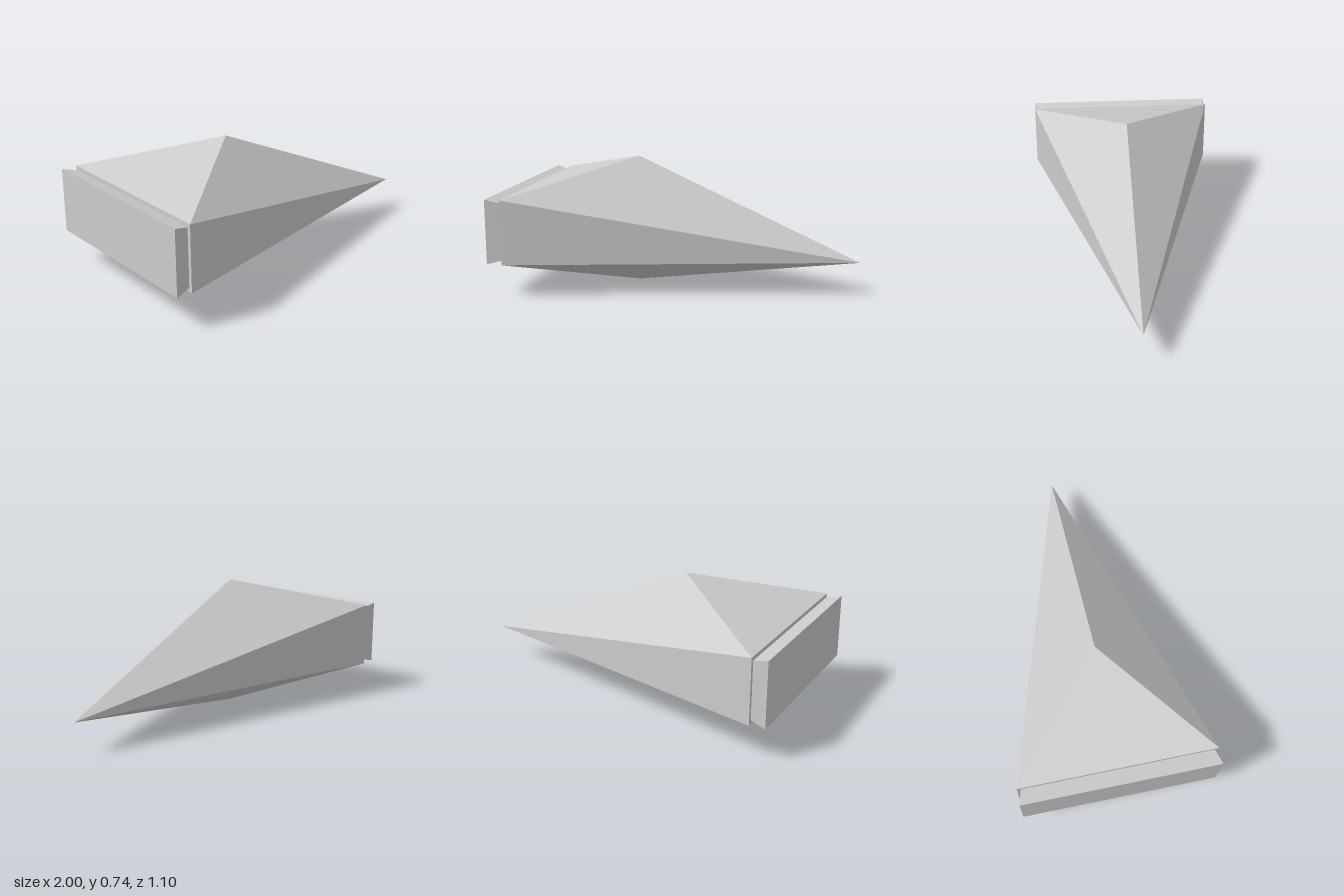
import * as THREE from 'three';
import { ConvexGeometry } from 'three/addons/geometries/ConvexGeometry.js';

const material = new THREE.MeshStandardMaterial({ color: 0xcccccc, flatShading: true });

// Four corners of an upright rectangle across the body at a given x
function section(x, bottom, top, halfWidth) {
  return [
    new THREE.Vector3(x, bottom, -halfWidth),
    new THREE.Vector3(x, bottom, halfWidth),
    new THREE.Vector3(x, top, halfWidth),
    new THREE.Vector3(x, top, -halfWidth),
  ];
}

function solid(name, points) {
  const mesh = new THREE.Mesh(new ConvexGeometry(points), material);
  mesh.name = name;
  return mesh;
}

export function createModel() {
  const model = new THREE.Group();
  model.name = 'wedgeShip';

  // Faceted hull: pointed nose, top and bottom peaks, rectangular stern
  model.add(solid('hull', [
    new THREE.Vector3(1, 0.187, 0),
    new THREE.Vector3(-0.28, 0.737, 0),
    new THREE.Vector3(-0.28, 0, 0),
    ...section(-0.912, 0.187, 0.553, 0.55),
  ]));

  // Engine block flaring outwards behind the stern
  model.add(solid('engineBlock', [
    ...section(-0.912, 0.209, 0.531, 0.528),
    ...section(-1, 0.187, 0.553, 0.55),
  ]));

  return model;
}
